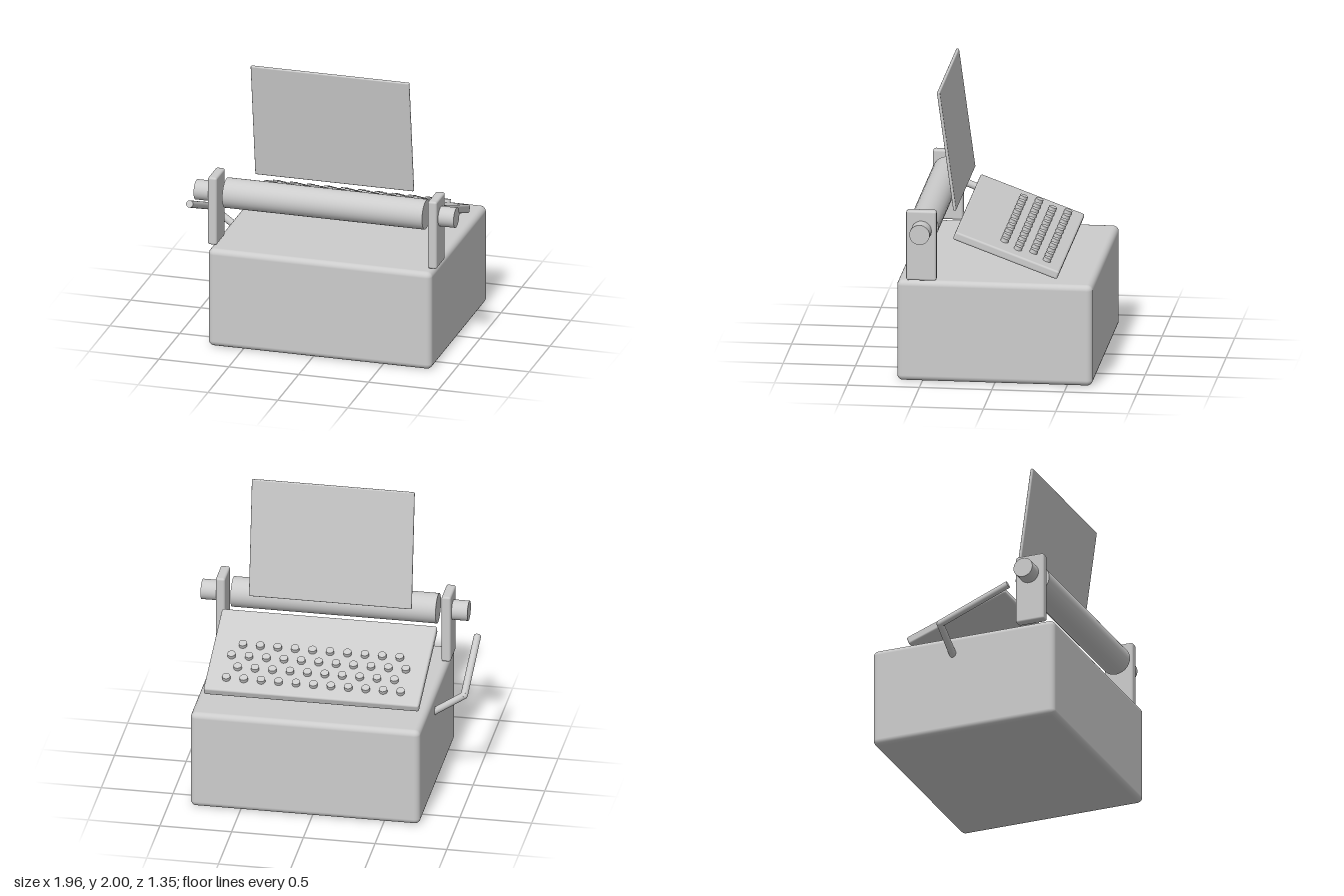
import * as THREE from 'three';
import { RoundedBoxGeometry } from 'three/addons/geometries/RoundedBoxGeometry.js';

export function createModel() {
  const model = new THREE.Group();
  model.name = 'typewriter';
  const grey = new THREE.MeshStandardMaterial({ color: 0xcccccc });
  grey.name = 'light grey';
  const midX = 0.05; // the machine sits beside the lever

  function add(parent, name, geometry, x, y, z) {
    const mesh = new THREE.Mesh(geometry, grey);
    mesh.name = name;
    mesh.position.set(x, y, z);
    parent.add(mesh);
    return mesh;
  }

  // round bar between two points
  function rod(parent, name, a, b, radius) {
    const dir = b.clone().sub(a);
    const mid = a.clone().add(b).multiplyScalar(0.5);
    const mesh = add(parent, name, new THREE.CylinderGeometry(radius, radius, dir.length(), 32), mid.x, mid.y, mid.z);
    mesh.quaternion.setFromUnitVectors(new THREE.Vector3(0, 1, 0), dir.normalize());
    return mesh;
  }

  // body
  add(model, 'body', new RoundedBoxGeometry(1.6, 0.715, 1.35, 3, 0.04), midX, 0.3575, 0);

  // sloping keyboard with four staggered rows of keys
  const keyboard = new THREE.Group();
  keyboard.name = 'keyboard';
  keyboard.position.set(midX, 0.9, -0.075);
  keyboard.rotation.x = -0.352;
  model.add(keyboard);
  add(keyboard, 'keyPanel', new RoundedBoxGeometry(1.5, 0.06, 0.765, 2, 0.015), 0, 0, 0);
  const keyGeometry = new THREE.CylinderGeometry(0.028, 0.028, 0.03, 20);
  for (let row = 0; row < 4; row++) {
    const count = row % 2 === 0 ? 11 : 10;
    for (let i = 0; i < count; i++) {
      const x = (i - (count - 1) / 2) * 0.1215;
      add(keyboard, 'key', keyGeometry, x, 0.041, -0.27 + row * 0.1065);
    }
  }

  // roller, its brackets and knobs
  const rollerY = 1.078, rollerZ = 0.502;
  const point = (x) => new THREE.Vector3(midX + x, rollerY, rollerZ);
  rod(model, 'roller', point(-0.715), point(0.715), 0.105);
  for (const side of [-1, 1]) {
    add(model, 'rollerBracket', new RoundedBoxGeometry(0.065, 0.495, 0.208, 2, 0.015),
      midX + side * 0.787, 0.97, 0.504);
    rod(model, 'knob', point(side * 0.79), point(side * 0.93), 0.07);
  }

  // sheet of paper leaning toward the roller
  const paper = add(model, 'paper', new RoundedBoxGeometry(1.135, 0.848, 0.022, 2, 0.009), midX, 1.577, 0.358);
  paper.rotation.x = 0.135;

  // bent carriage lever
  const lever = new THREE.Group();
  lever.name = 'lever';
  model.add(lever);
  const root = new THREE.Vector3(-0.72, 0.565, -0.075);
  const bend = new THREE.Vector3(-0.953, 0.725, -0.083);
  const tip = new THREE.Vector3(-0.953, 0.93, 0.422);
  rod(lever, 'leverArm', root, bend, 0.025);
  rod(lever, 'leverHandle', bend, tip, 0.025);
  add(lever, 'leverBend', new THREE.SphereGeometry(0.025, 20, 14), bend.x, bend.y, bend.z);

  return model;
}
